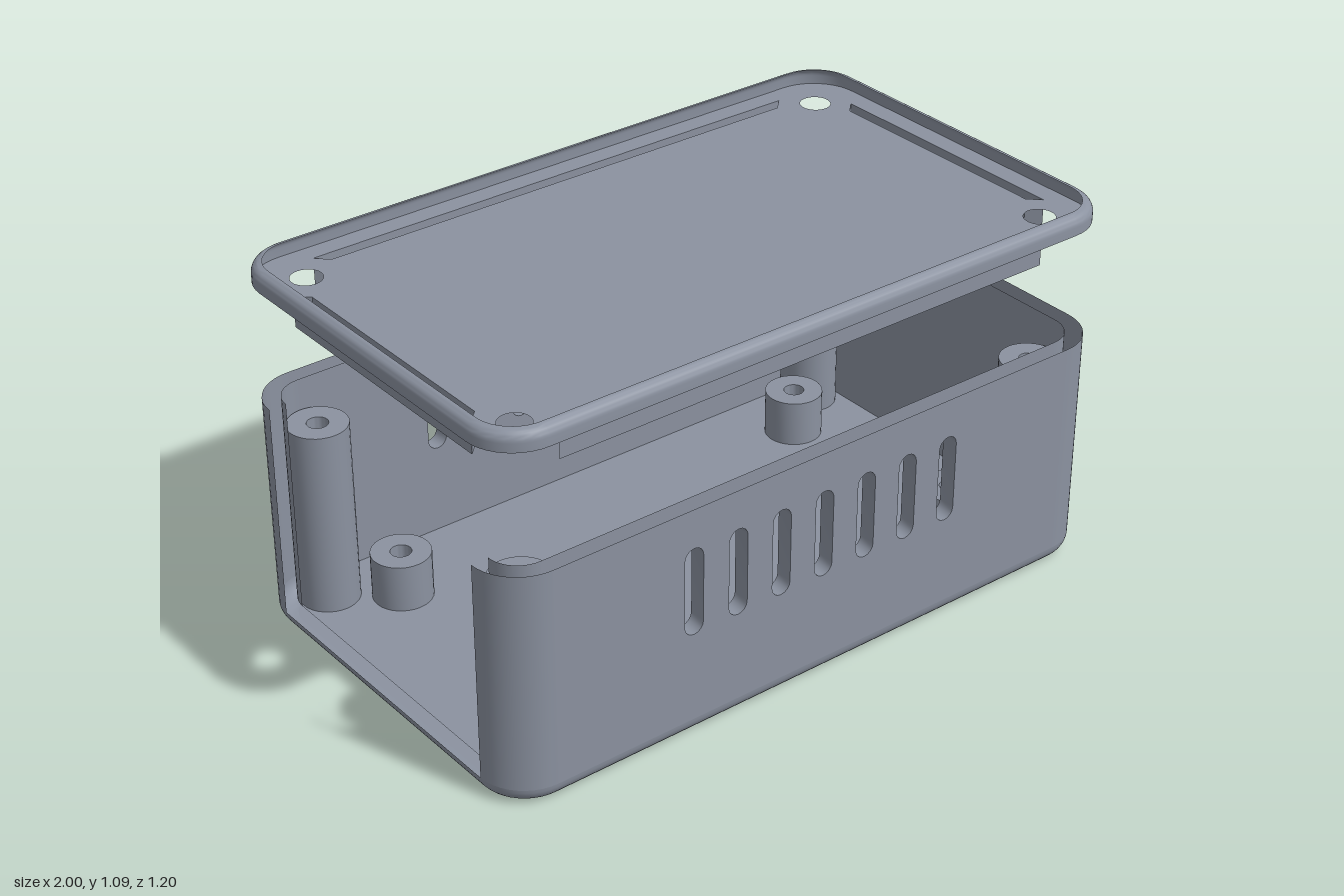
import * as THREE from 'three';
import { toCreasedNormals } from 'three/addons/utils/BufferGeometryUtils.js';

const HX = 1, HZ = 0.6, R = 0.14, N = 10;          // half sizes, corner radius, corner steps
const WALL = 0.05, BOX_TOP = 0.69, FLOOR = 0.05;
const LID_Y = 1.035, LID_TOP = 1.09, CLIP_Y = 0.945;
const SIDE = { front: 0, left: 1, back: 2, right: 3 }; // straight runs of an outline (+z, -x, -z, +x)

const plastic = new THREE.MeshStandardMaterial({ color: 0x8b92a0, side: THREE.DoubleSide });
plastic.name = 'greyPlastic';

function add(group, name, geometry) {
  const mesh = new THREE.Mesh(geometry, plastic);
  mesh.name = name;
  group.add(mesh);
  return mesh;
}

// Rounded rectangle, inset from the outer size, as [x, z] points
function outline(inset) {
  const r = R - inset, pts = [];
  [[1, 1], [-1, 1], [-1, -1], [1, -1]].forEach(([sx, sz], k) => {
    for (let i = 0; i <= N; i++) {
      const a = (k + i / N) * Math.PI / 2;
      pts.push([sx * (HX - R) + r * Math.cos(a), sz * (HZ - R) + r * Math.sin(a)]);
    }
  });
  return pts;
}

// Skin between closed loops of Vector3, leaving out the listed segments
function skin(loops, skip = []) {
  const n = loops[0].length, pos = [], index = [];
  loops.forEach(loop => loop.forEach(p => pos.push(p.x, p.y, p.z)));
  for (let j = 0; j + 1 < loops.length; j++) {
    for (let i = 0; i < n; i++) {
      if (skip.includes(i)) continue;
      const a = j * n + i, b = j * n + (i + 1) % n;
      index.push(a, a + n, b, b, a + n, b + n);
    }
  }
  const g = new THREE.BufferGeometry();
  g.setAttribute('position', new THREE.Float32BufferAttribute(pos, 3));
  g.setIndex(index);
  return toCreasedNormals(g, 0.6);
}

const rim = (rings, sides = []) => skin(
  rings.map(([inset, y]) => outline(inset).map(([x, z]) => new THREE.Vector3(x, y, z))),
  sides.map(k => k * (N + 1) + N));

// Flat horizontal plate from [x, z] points, facing up or down
function plate(pts, y, up, holes = []) {
  const s = up ? -1 : 1;
  const flat = list => list.map(([x, z]) => new THREE.Vector2(x, s * z));
  const shape = new THREE.Shape(flat(pts));
  shape.holes = holes.map(h => new THREE.Path(flat(h)));
  return new THREE.ShapeGeometry(shape).rotateX(s * Math.PI / 2).translate(0, y, 0);
}

const circle = (cx, cz, r, n = 32) => Array.from({ length: n }, (_, i) => {
  const a = i / n * Math.PI * 2;
  return [cx + r * Math.cos(a), cz + r * Math.sin(a)];
});

// Upright slot outline as [x, y] points
function slot(cx) {
  const r = 0.03, y0 = 0.315 + r, y1 = 0.575 - r, pts = [];
  for (let i = 0; i <= 8; i++) pts.push([cx + r * Math.cos(i * Math.PI / 8), y1 + r * Math.sin(i * Math.PI / 8)]);
  for (let i = 0; i <= 8; i++) pts.push([cx - r * Math.cos(i * Math.PI / 8), y0 - r * Math.sin(i * Math.PI / 8)]);
  return pts;
}

// Screw pillar with an optional blind hole
function pillar(radius, height, hole) {
  const p = [[radius, 0], [radius, height]];
  if (hole) p.push([hole, height], [hole, height * 0.3], [0, height * 0.3]);
  else p.push([0, height]);
  return toCreasedNormals(new THREE.LatheGeometry(p.map(([x, y]) => new THREE.Vector2(x, y)), 32), 0.6);
}

function makeBox() {
  const box = new THREE.Group();
  box.name = 'box';
  const fillet = [];
  for (let i = 0; i <= 8; i++) {
    const a = i / 8 * Math.PI / 2;
    fillet.push([0.05 * (1 - Math.sin(a)), 0.05 * (1 - Math.cos(a))]);
  }
  add(box, 'bottom', plate(outline(0.05), 0, false));
  add(box, 'bottomFillet', rim(fillet));
  add(box, 'innerFloor', plate(outline(WALL), FLOOR, true));

  // Outer and inner wall skins; the -x end is open
  const open = [SIDE.front, SIDE.left, SIDE.back];
  add(box, 'outerWall', rim([[0, 0.05], [0, BOX_TOP]], open));
  add(box, 'innerWall', rim([[WALL, FLOOR], [WALL, BOX_TOP]], open));

  // Long walls with ventilation slots
  const slots = Array.from({ length: 7 }, (_, i) => slot((i - 3) * 0.143));
  const w = HX - R;
  const panel = new THREE.Shape([[-w, 0.05], [w, 0.05], [w, BOX_TOP], [-w, BOX_TOP]]
    .map(p => new THREE.Vector2(...p)));
  panel.holes = slots.map(s => new THREE.Path(s.map(p => new THREE.Vector2(...p))));
  for (const s of [1, -1]) {
    const name = s > 0 ? 'front' : 'back';
    for (const z of [HZ, HZ - WALL]) {
      const g = new THREE.ShapeGeometry(panel);
      if ((s > 0) !== (z === HZ)) g.rotateY(Math.PI);
      add(box, name + (z === HZ ? 'OuterPanel' : 'InnerPanel'), g.translate(0, 0, s * z));
    }
    slots.forEach(pts => add(box, name + 'SlotEdge',
      skin([HZ - WALL, HZ].map(z => pts.map(([x, y]) => new THREE.Vector3(x, y, s * z))))));
  }

  // Lid screw pillars and low board standoffs
  for (const sx of [-1, 1]) for (const sz of [-1, 1]) {
    const blind = sx > 0 && sz < 0;
    add(box, 'screwPillar', pillar(0.085, 0.55, blind ? 0 : 0.03)).position.set(sx * 0.86, FLOOR, sz * 0.46);
    add(box, 'boardStandoff', pillar(0.085, 0.14, 0.03)).position.set(sx * 0.7, FLOOR, sz * 0.34);
  }
  return box;
}

function makeLid() {
  const lid = new THREE.Group();
  lid.name = 'lid';
  // Edge with a rounded top
  const edge = [[0, LID_Y]];
  for (let i = 0; i <= 8; i++) {
    const a = i / 8 * Math.PI / 2;
    edge.push([0.03 * (1 - Math.cos(a)), LID_TOP - 0.03 * (1 - Math.sin(a))]);
  }
  add(lid, 'lidEdge', rim(edge));

  // Mitred clip troughs along the four sides
  const clips = [];
  for (const s of [1, -1]) {
    clips.push([[-0.79, s * 0.54], [0.79, s * 0.54], [0.755, s * 0.505], [-0.755, s * 0.505]]);
    clips.push([[s * 0.94, -0.395], [s * 0.94, 0.395], [s * 0.905, 0.36], [s * 0.905, -0.36]]);
  }
  clips.forEach(pts => {
    add(lid, 'clipWalls', skin([CLIP_Y, LID_Y].map(y => pts.map(([x, z]) => new THREE.Vector3(x, y, z)))));
    add(lid, 'clipBottom', plate(pts, CLIP_Y, false));
  });

  // Panel with screw holes and clip openings
  const holes = [];
  for (const sx of [-1, 1]) for (const sz of [-1, 1]) holes.push(circle(sx * 0.86, sz * 0.46, 0.044));
  add(lid, 'lidPanel', plate(outline(0), LID_Y, false, [...holes, ...clips]));
  return lid;
}

export function createModel() {
  const model = new THREE.Group();
  model.name = 'ventilatedEnclosure';
  model.add(makeBox(), makeLid());
  return model;
}
